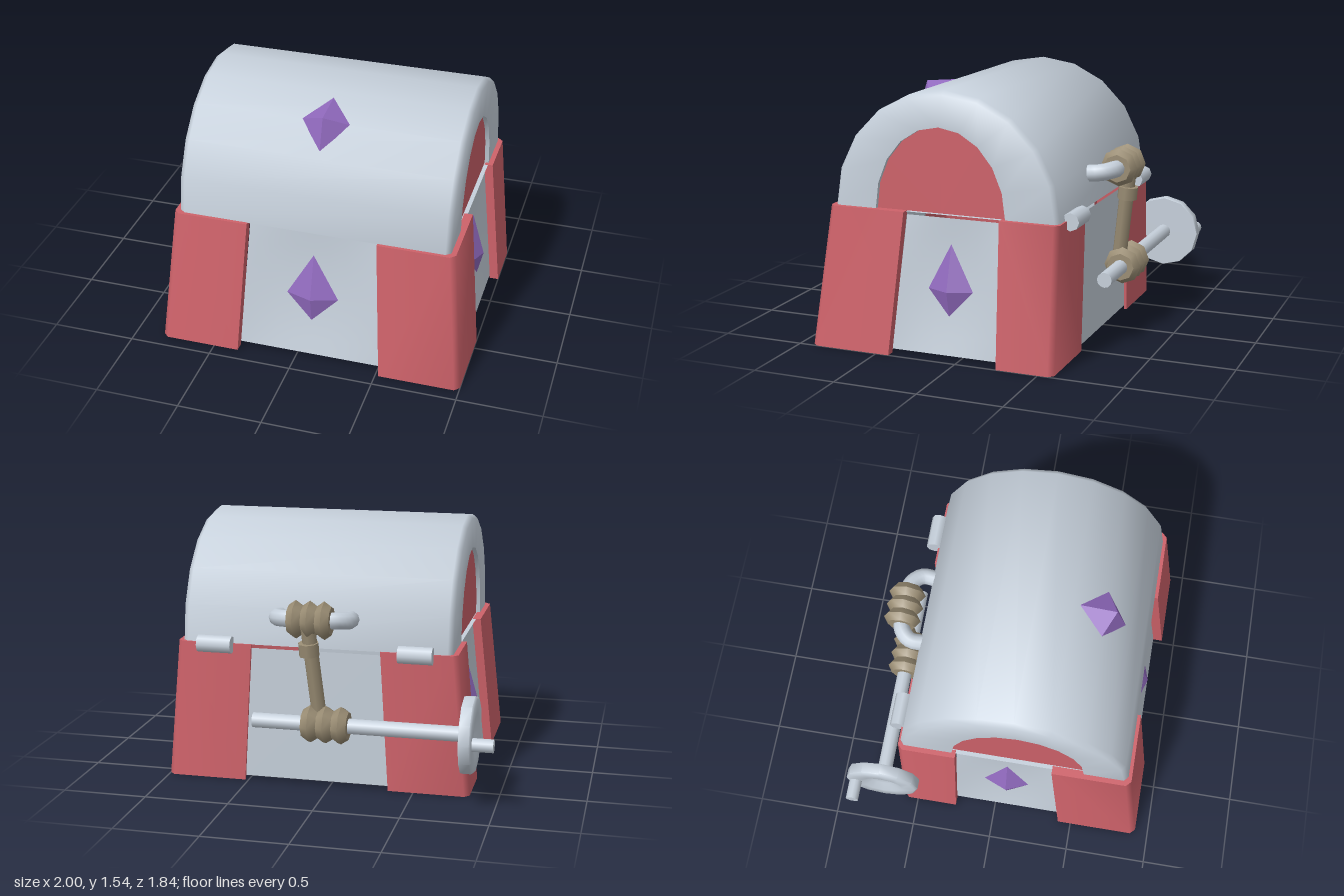
import * as THREE from 'three';
import { toCreasedNormals } from 'three/addons/utils/BufferGeometryUtils.js';

const CX = 0.085; // the chest sits slightly off centre because of the crank
const mat = (name, color) => {
  const m = new THREE.MeshStandardMaterial({ color, side: THREE.DoubleSide });
  m.name = name;
  return m;
};
const flipX = ([x, y, z]) => [2 * CX - x, y, z];

// Skin a list of equal-length rings of [x, y, z] points
function loft(rings, closed = true, crease = 0.9) {
  const pos = [];
  for (let r = 0; r < rings.length - 1; r++) {
    const a = rings[r], b = rings[r + 1], n = a.length;
    for (let i = 0; i < (closed ? n : n - 1); i++) {
      const j = (i + 1) % n;
      pos.push(...a[i], ...a[j], ...b[j], ...a[i], ...b[j], ...b[i]);
    }
  }
  const g = new THREE.BufferGeometry();
  g.setAttribute('position', new THREE.Float32BufferAttribute(pos, 3));
  g.computeVertexNormals();
  return crease ? toCreasedNormals(g, crease) : g;
}

// Wall panel between four corners, dished inwards by a vector at its middle
function panelRings(bl, br, tl, tr, dip, n = 8) {
  const rings = [];
  for (let j = 0; j <= n; j++) {
    const v = j / n, ring = [];
    for (let i = 0; i <= n; i++) {
      const u = i / n, d = 16 * u * (1 - u) * v * (1 - v);
      ring.push([0, 1, 2].map((k) =>
        (bl[k] * (1 - u) + br[k] * u) * (1 - v) + (tl[k] * (1 - u) + tr[k] * u) * v + dip[k] * d));
    }
    rings.push(ring);
  }
  return rings;
}

export function createModel() {
  const group = new THREE.Group();
  const silver = mat('silver', 0xc6d0db);
  const red = mat('red', 0xce626a);
  const purple = mat('gem purple', 0x9069bd);
  const rope = mat('rope tan', 0x9a8d74);

  const add = (name, geo, material, x = 0, y = 0, z = 0) => {
    const m = new THREE.Mesh(geo, material);
    m.name = name;
    m.position.set(x, y, z);
    group.add(m);
    return m;
  };
  const rod = (name, material, r, x0, x1, y, z, seg = 12) =>
    add(name, new THREE.CylinderGeometry(r, r, x1 - x0, seg).rotateZ(Math.PI / 2), material, (x0 + x1) / 2, y, z);

  // Tapered wall panels between the corner guards
  const B = 0.025, T = 0.815;
  add('frontWall', loft(panelRings([-0.35, B, 0.86], [0.52, B, 0.86], [-0.3, T, 0.76], [0.47, T, 0.76], [0, 0, -0.025]), false), silver);
  add('backWall', loft(panelRings([0.52, B, -0.575], [-0.35, B, -0.575], [0.47, T, -0.575], [-0.3, T, -0.575], [0, 0, 0], 1), false), silver);
  const sideWall = panelRings([0.945, B, 0.42], [0.945, B, -0.25], [0.87, T, 0.345], [0.87, T, -0.24], [-0.025, 0, 0]);
  add('leftWall', loft(sideWall, false), silver);
  add('rightWall', loft(sideWall.map((r) => r.map(flipX).reverse()), false), silver);

  // Chamfered corner guards, hollow inside
  const guard = (zOut, zIn, zWall, x0, x1, xWall, y) => {
    const c = 0.03 * Math.sign(zOut);
    return [[x0, y, zWall], [x0, y, zOut], [x1 - 0.03, y, zOut], [x1, y, zOut - c], [x1, y, zIn], [xWall, y, zIn]];
  };
  const corners = {
    front: [guard(0.92, 0.42, 0.86, 0.52, 1.0, 0.945, 0), guard(0.82, 0.345, 0.76, 0.47, 0.92, 0.87, 0.838)],
    back: [guard(-0.59, -0.25, -0.575, 0.52, 1.0, 0.945, 0), guard(-0.59, -0.24, -0.575, 0.47, 0.92, 0.87, 0.838)],
  };
  for (const [end, rings] of Object.entries(corners)) {
    for (const side of ['Left', 'Right']) {
      const [bottom, top] = side === 'Left' ? rings : rings.map((r) => r.map(flipX));
      add(end + side + 'Corner', loft([bottom, top], false), red);
      // strip closing the top edge
      const inner = [top[0], top[0], ...Array(2).fill([top[5][0], 0.838, top[0][2]]), top[5], top[5]];
      add(end + side + 'CornerCap', loft([top, inner], false), red);
    }
  }

  // Barrel lid with bevelled ends and recessed end panels
  const arch = (x, cz, rz, ry) => Array.from({ length: 11 }, (_, i) => {
    const a = (i / 10) * Math.PI;
    return [x, 0.836 + ry * Math.sin(a), cz + rz * Math.cos(a)];
  });
  const outer = (x, s) => arch(x, 0.11, 0.69 * s, 0.704 * s);
  const inner = (x) => arch(x, 0.135, 0.4, 0.497);
  add('lid', loft([inner(-0.69), inner(-0.72), outer(-0.72, 0.965), outer(-0.69, 1),
    outer(0.86, 1), outer(0.89, 0.965), inner(0.89), inner(0.86)]), silver);
  for (const [name, x] of [['leftLidPanel', 0.865], ['rightLidPanel', -0.695]]) {
    add(name, loft([inner(x), inner(x).map(() => [x, 0.836, 0.135])]), red);
  }
  // Lining under the lid
  add('lidLining', new THREE.PlaneGeometry(1.57, 1.33).rotateX(Math.PI / 2), purple, CX, 0.832, 0.11);

  // Faceted diamond gems: four rim points and an apex
  const gem = (name, rim, apex) => add(name, loft([rim, rim.map(() => apex)], true, 0), purple);
  gem('frontGem', [[CX, 0.245, 0.822], [0.24, 0.4, 0.797], [CX, 0.665, 0.768], [-0.07, 0.4, 0.797]], [CX, 0.4, 0.848]);
  const sideRim = [[0.915, 0.25, 0.07], [0.894, 0.4, -0.07], [0.873, 0.665, 0.07], [0.894, 0.4, 0.205]];
  const sideTip = [0.95, 0.4, 0.07];
  gem('leftGem', sideRim, sideTip);
  gem('rightGem', sideRim.map(flipX).reverse(), flipX(sideTip));
  gem('lidGem', [[CX, 1.285, 0.64], [0.23, 1.405, 0.51], [CX, 1.485, 0.36], [-0.06, 1.405, 0.51]], [CX, 1.465, 0.58]);

  // Hinges
  rod('rightHinge', silver, 0.052, -0.61, -0.41, 0.835, -0.61, 8);
  rod('leftHinge', silver, 0.052, 0.58, 0.785, 0.835, -0.61, 8);

  // Curved handle on the back of the lid
  const path = new THREE.CatmullRomCurve3([[-0.12, 1.01, -0.53], [-0.12, 1.02, -0.62], [-0.06, 1.03, -0.68],
    [0.09, 1.03, -0.69], [0.24, 1.03, -0.68], [0.3, 1.02, -0.62], [0.3, 1.01, -0.53]]
    .map((p) => new THREE.Vector3(...p)));
  add('lidHandle', new THREE.TubeGeometry(path, 28, 0.05, 10), silver);

  // Crank: shaft, dished wheel and grip
  rod('crankShaft', silver, 0.045, -0.83, 0.43, 0.415, -0.695);
  const dish = [[0, -0.037], [0.222, -0.037], [0.225, -0.03], [0.225, 0.025], [0.21, 0.037], [0.13, 0.037], [0.07, 0.005], [0, 0.005]];
  const wheel = new THREE.LatheGeometry(dish.map((p) => new THREE.Vector2(...p)), 12).rotateZ(Math.PI / 2);
  add('crankWheel', toCreasedNormals(wheel, 0.9), silver, -0.843, 0.415, -0.695);
  rod('crankGrip', silver, 0.039, -1.0, -0.86, 0.412, -0.86);

  // Ridged rope coils
  const coil = (name, x0, x1, y, z, ridges) => {
    const pts = [new THREE.Vector2(0.03, 0)];
    for (let i = 0; i <= ridges * 2; i++) {
      pts.push(new THREE.Vector2(i % 2 ? 0.113 : 0.083, ((x1 - x0) * i) / (ridges * 2)));
    }
    pts.push(new THREE.Vector2(0.03, x1 - x0));
    const g = new THREE.LatheGeometry(pts, 8).rotateZ(-Math.PI / 2);
    add(name, toCreasedNormals(g, 0.8), rope, x0, y, z);
  };
  coil('upperCoil', -0.04, 0.21, 1.03, -0.69, 3);
  coil('lowerCoil', -0.14, 0.13, 0.415, -0.695, 3);

  // Hanging rope with a knot below the upper coil
  const strand = (name, a, b, r) => {
    const p = new THREE.Vector3(...a), q = new THREE.Vector3(...b);
    const m = add(name, new THREE.CylinderGeometry(r, r, p.distanceTo(q), 8), rope);
    m.position.copy(p).add(q).multiplyScalar(0.5);
    m.quaternion.setFromUnitVectors(new THREE.Vector3(0, 1, 0), q.sub(p).normalize());
  };
  strand('hangingRope', [0.04, 0.44, -0.66], [0.09, 1.0, -0.73], 0.044);
  strand('ropeKnot', [0.085, 0.83, -0.717], [0.088, 0.905, -0.725], 0.06);

  return group;
}
